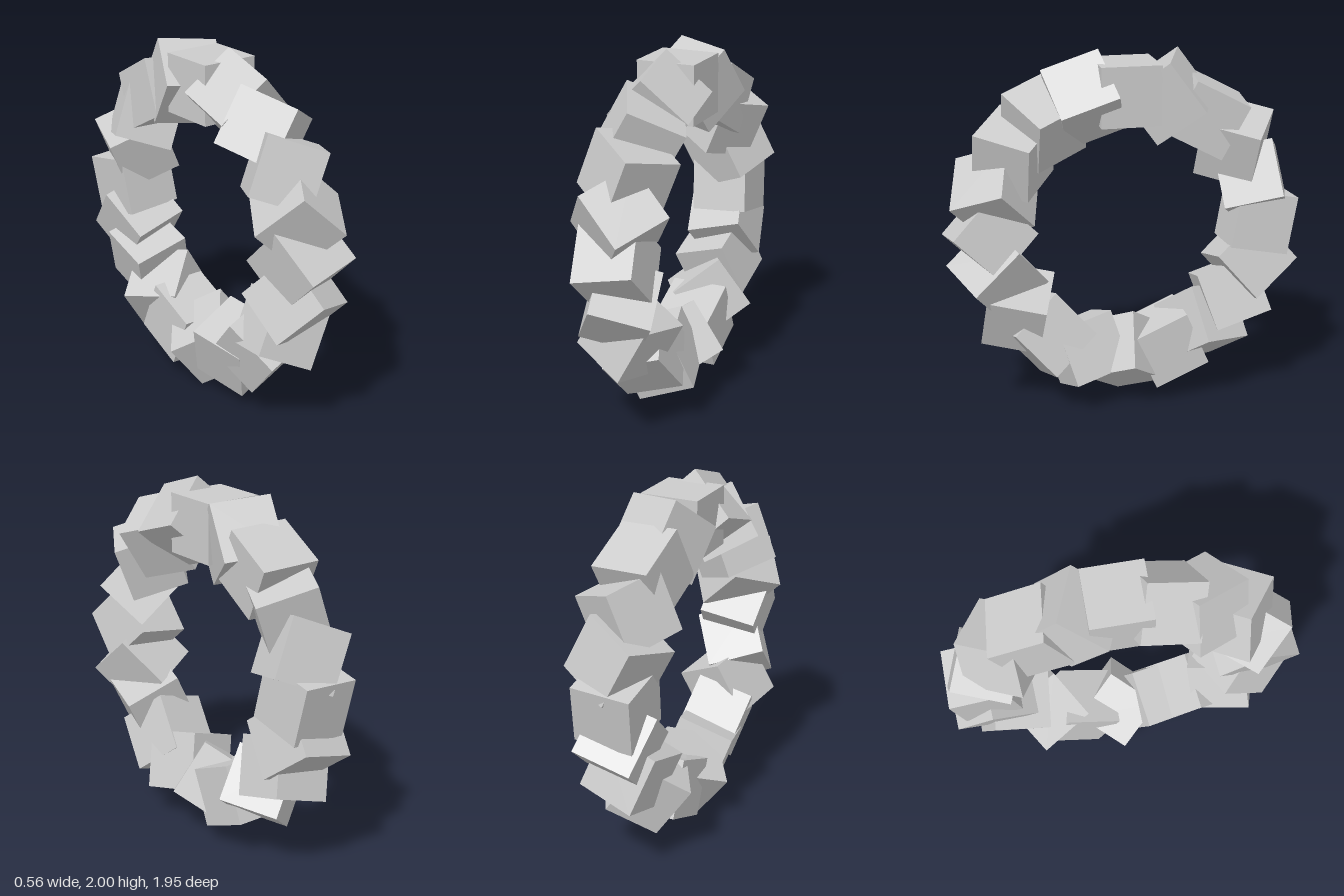
import * as THREE from 'three';

const COUNT = 20, RADIUS = 0.75, SIZE = 0.326;
const CENTRE_Y = 1.02, CENTRE_Z = -0.02;

// Tumble of each block: rough directions of two of its edges (made square below)
const EDGES = [
  [[1, 0, 0], [0, 1, 0]],
  [[0, 31, -95], [71, 67, 22]],
  [[-46, 26, 31], [-31, -53, -2]],
  [[-32, 11, 51], [-23, -57, 0]],
  [[-33, -19, 48], [-44, 41, -11]],
  [[60, 11, -7], [-13, 43, -43]],
  [[53, -18, -25], [-28, -43, -34]],
  [[-53, 25, -17], [-29, -54, 4]],
  [[-8, 47, 42], [-18, 37, -45]],
  [[-18, 57, 16], [-15, 14, -57]],
  [[-36, -22, 45], [-34, -31, -41]],
  [[0, 25, -57], [0, 57, 25]],
  [[-32, -9, -52], [-35, 50, 9]],
  [[-19, 56, 17], [0, 20, -59]],
  [[-12, 37, -47], [-10, 45, 40]],
  [[4, -58, 12], [0, 11, 60]],
  [[-18, -14, 57], [-27, 55, 7]],
  [[-27, 12, 54], [-23, -57, 3]],
  [[-5, -54, 28], [4, -28, -54]],
  [[-9, 49, 36], [-21, -36, 45]],
];

// Nearest right-angled frame to two rough edge directions
function frame([p, q]) {
  const a = new THREE.Vector3(...p).normalize();
  const b = new THREE.Vector3(...q).normalize();
  const sum = a.clone().add(b).normalize();
  const diff = a.clone().sub(b).normalize();
  const u = sum.clone().add(diff).normalize();
  const v = sum.clone().sub(diff).normalize();
  const w = u.clone().cross(v);
  return new THREE.Matrix4().makeBasis(u, v, w);
}

export function createModel() {
  const ring = new THREE.Group();
  ring.name = 'blockRing';
  const geometry = new THREE.BoxGeometry(SIZE, SIZE, SIZE);
  const material = new THREE.MeshStandardMaterial({ color: 0xcccccc, flatShading: true });

  // Equal blocks spaced around an upright ring, starting at the top
  EDGES.forEach((edges, i) => {
    const angle = (i / COUNT) * Math.PI * 2;
    const block = new THREE.Mesh(geometry, material);
    block.name = `block${i + 1}`;
    block.position.set(0, CENTRE_Y + RADIUS * Math.cos(angle), CENTRE_Z + RADIUS * Math.sin(angle));
    block.quaternion.setFromRotationMatrix(frame(edges));
    ring.add(block);
  });
  return ring;
}
